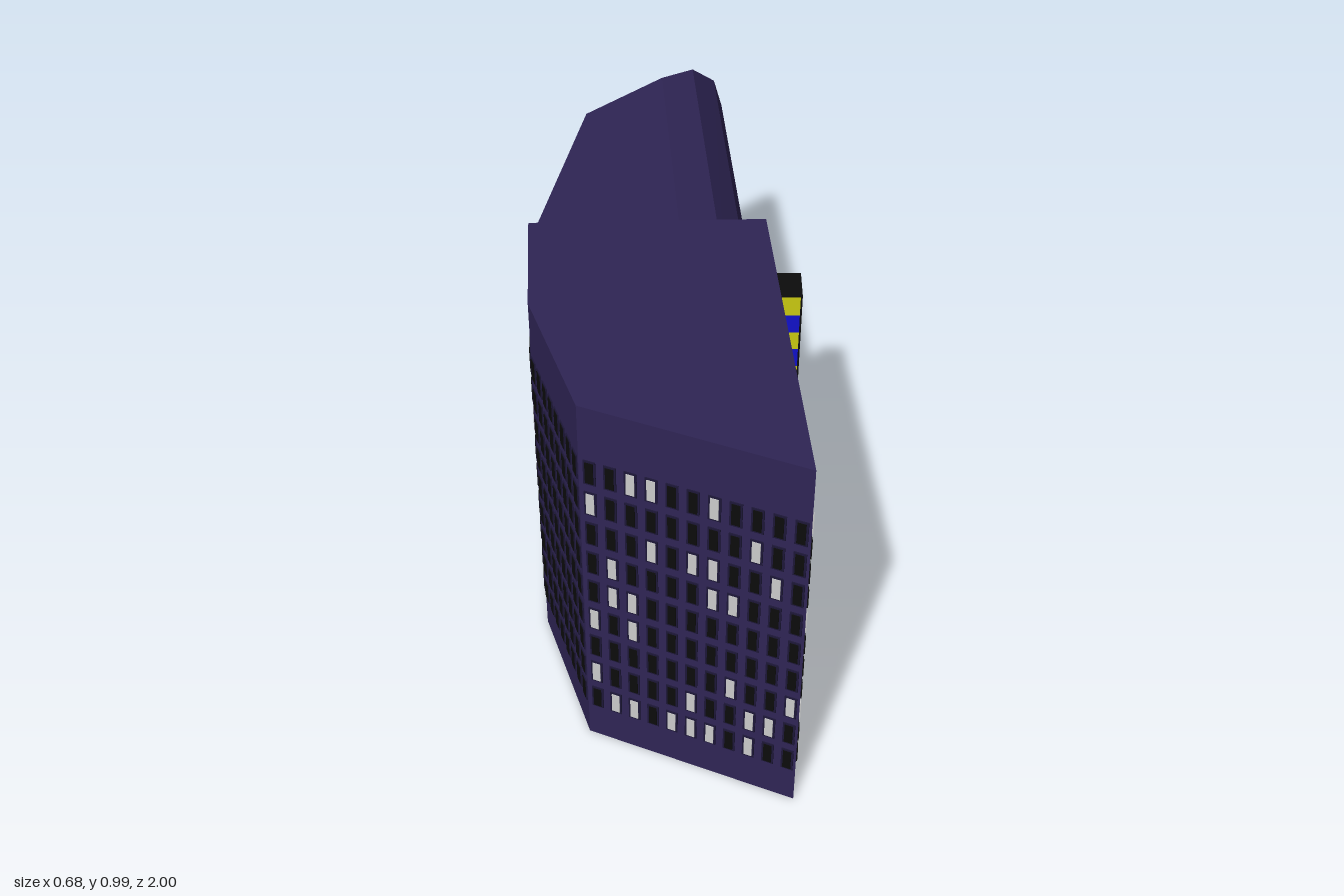
import * as THREE from 'three';
import { mergeGeometries } from 'three/addons/utils/BufferGeometryUtils.js';
import { ConvexGeometry } from 'three/addons/geometries/ConvexGeometry.js';

const mat = (color) => new THREE.MeshStandardMaterial({ color });
const wall = mat(0x2f2555), frameMat = mat(0x1d1738), dark = mat(0x0c0c0c), lit = mat(0xbdbdbd);
const yellow = mat(0xcccc11), blue = mat(0x1111cc), grey = mat(0xcccccc);

// footprint corners [x, z], walked so that the outward side is (dz, -dx)
const A = [0.29, 1], B = [-0.18, 0.81], C = [-0.305, 0.46], D = [-0.34, 0], E = [-0.24, -0.61], F = [0.135, -1];
const S1 = [-0.33, 0.14], S2 = [0.222, 0.115]; // split between tall and low blocks
const TALL = 0.985, LOW = 0.855;

function mesh(name, geometry, material, parent) {
  const m = new THREE.Mesh(geometry, material);
  m.name = name;
  parent.add(m);
  return m;
}
const at = ([x, z], y) => new THREE.Vector3(x, y, z);

// box lying on the wall a-b at fraction t, height y
function wallBox(a, b, t, y, w, h, depth) {
  const dx = b[0] - a[0], dz = b[1] - a[1];
  return new THREE.BoxGeometry(w, h, depth).rotateY(Math.atan2(dz, -dx))
    .translate(a[0] + dx * t, y, a[1] + dz * t);
}

// grid of windows on a wall; isLit(row, column) counts rows from the top
function windows(name, parent, { a, b, cols, t0, t1, rows, top, bottom, w, h, frame = 0, isLit }) {
  const sets = { Dark: [], Lit: [], Frames: [] };
  for (let r = 0; r < rows; r++) {
    for (let c = 0; c < cols; c++) {
      const t = t0 + (t1 - t0) * c / (cols - 1), y = top + (bottom - top) * r / (rows - 1);
      sets[isLit(r, c) ? 'Lit' : 'Dark'].push(wallBox(a, b, t, y, w, h, 0.008));
      if (frame) sets.Frames.push(wallBox(a, b, t, y, w + frame, h + frame, 0.005));
    }
  }
  const mats = { Dark: dark, Lit: lit, Frames: frameMat };
  for (const key in sets) if (sets[key].length) mesh(name + key, mergeGeometries(sets[key]), mats[key], parent);
}

function seeded(seed) {
  return () => (seed = (seed * 16807) % 2147483647) / 2147483647;
}

export function createModel() {
  const model = new THREE.Group();
  model.name = 'building';

  // tall front block
  const tall = [A, B, C, S1, S2].flatMap((p) => [at(p, 0), at(p, TALL)]);
  mesh('tallBlock', new ConvexGeometry(tall), wall, model);

  // low rear block, its roof rolling down to the street wall
  const low = [S1, S2, D, E, F].map((p) => at(p, 0));
  low.push(...[S1, D, E].map((p) => at(p, LOW)));
  const roll = [[0.19, 0.18, LOW], [0.092, 0.09, 0.835], [0.027, 0.025, 0.765], [0, 0, 0.67]];
  for (const [inset, back, y] of roll) {
    low.push(at([S2[0] - inset, S2[1] + inset * 0.045], y));
    low.push(at([F[0] - back * 0.9615, F[1] + back], y));
  }
  mesh('lowBlock', new ConvexGeometry(low), wall, model);

  const windowGroup = new THREE.Group();
  windowGroup.name = 'windows';
  model.add(windowGroup);

  // front wall, columns counted from x-
  const frontLit = [[2, 3, 6], [0, 8], [3, 5, 6, 9], [1, 6, 7], [1, 2], [0, 2], [7, 10], [0, 5, 8, 9], [1, 2, 4, 5, 6, 8]];
  const tall9 = { rows: 9, top: 0.815, bottom: 0.13, h: 0.055, frame: 0.009 };
  windows('frontWindows', windowGroup, {
    ...tall9, a: A, b: B, cols: 11, t0: 0.951, t1: 0.04, w: 0.019,
    isLit: (r, c) => frontLit[r].includes(c),
  });

  // curved left side made of three walls
  const rndLeft = seeded(77);
  [['frontLeft', B, C, 8, 0], ['midLeft', C, D, 10, 0.04], ['rearLeft', D, E, 13, 0.27]].forEach(([n, a, b, cols, share]) =>
    windows(n + 'Windows', windowGroup, {
      ...tall9, a, b, cols, t0: 0.5 / cols, t1: 1 - 0.5 / cols, w: 0.022,
      isLit: () => rndLeft() < share,
    }));

  // street wall (F to A); t from z
  const tz = (z) => (z + 1) / 2;
  const rndTall = seeded(4242);
  windows('tallStreetWindows', windowGroup, {
    a: F, b: A, cols: 21, t0: tz(0.98), t1: tz(0.145), rows: 11, top: 0.84, bottom: 0.15, w: 0.028, h: 0.052,
    isLit: () => rndTall() < 0.27,
  });
  const low8 = { a: F, b: A, rows: 8, top: 0.515, bottom: 0.152, w: 0.052, h: 0.034 };
  windows('lowStreetWindowsNear', windowGroup, {
    ...low8, cols: 3, t0: tz(0.088), t1: tz(-0.052),
    isLit: (r, c) => (r === 0 && c === 0) || (r === 6 && c === 2),
  });
  const farLit = [[1, 2, 4, 6], [2, 8], [2, 4, 8], [2, 3, 6], [1, 5, 7], [2, 8], [4, 8], [4, 5]];
  windows('lowStreetWindowsFar', windowGroup, {
    ...low8, cols: 9, t0: tz(-0.33), t1: tz(-0.89),
    isLit: (r, c) => farLit[r].includes(c),
  });

  // entrance doors
  const doors = [0.046, 0.021, -0.046, -0.073, -0.167, -0.189]
    .map((z) => wallBox(F, A, tz(z), 0.03, 0.02, 0.042, 0.014));
  mesh('doors', mergeGeometries(doors), lit, model);

  // hanging sign with stripes on both faces
  const sign = new THREE.Group();
  sign.name = 'sign';
  sign.position.set(0.3, 0.435, -0.165);
  model.add(sign);
  mesh('signCase', new THREE.BoxGeometry(0.074, 0.34, 0.104), dark, sign);
  for (let i = 0; i < 6; i++) {
    mesh('signStripe', new THREE.BoxGeometry(0.064, 0.055, 0.108), i % 2 ? blue : yellow, sign)
      .position.y = 0.1375 - i * 0.055;
  }
  for (const y of [-0.135, 0, 0.135]) {
    for (const z of [-0.045, 0.035]) {
      mesh('signBracket', new THREE.CylinderGeometry(0.006, 0.006, 0.085, 8).rotateZ(Math.PI / 2), grey, sign)
        .position.set(-0.073, y, z);
    }
  }
  return model;
}
